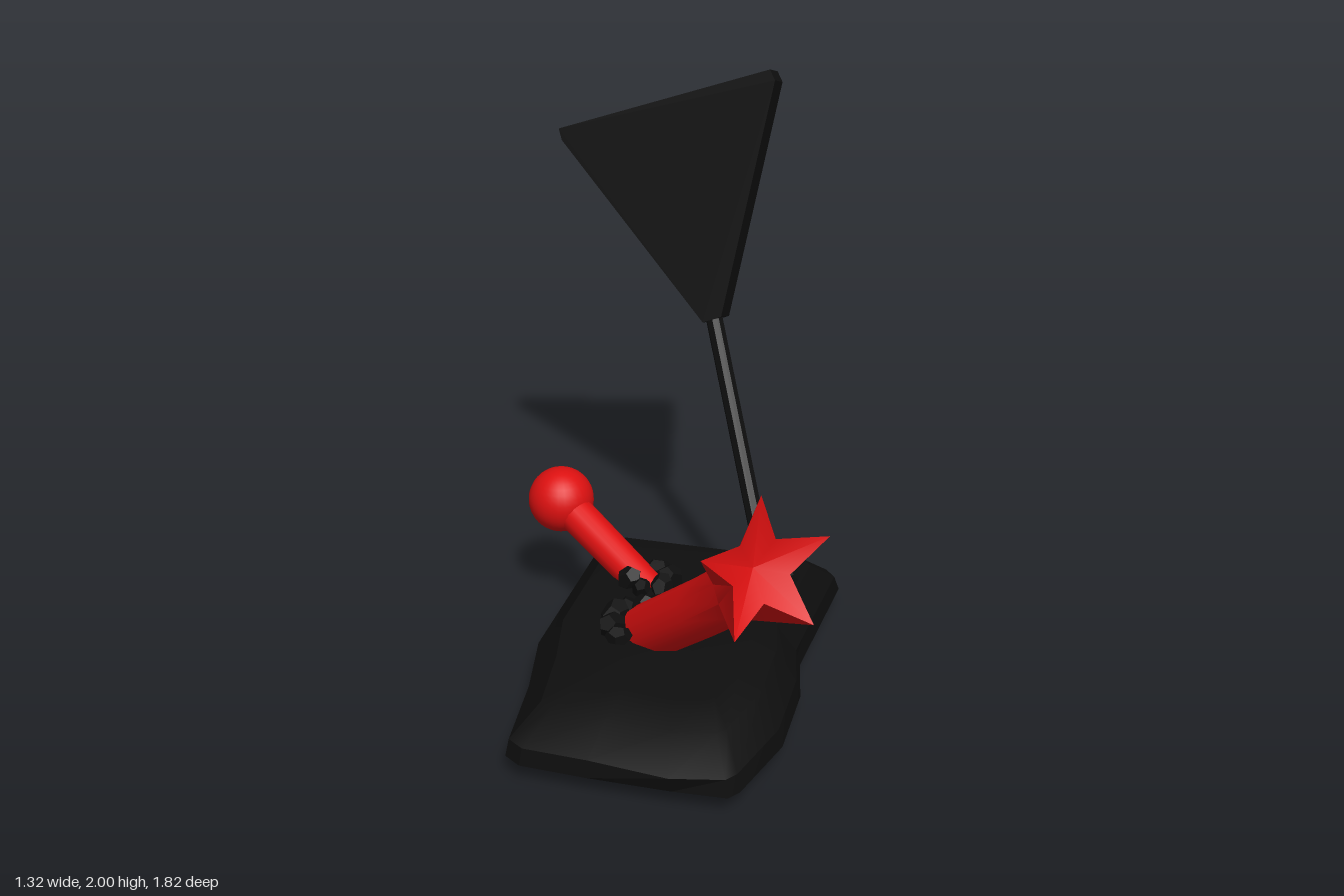
import * as THREE from 'three';
import { toCreasedNormals } from 'three/addons/utils/BufferGeometryUtils.js';

const V = (x, y, z) => new THREE.Vector3(x, y, z);
const dark = new THREE.MeshStandardMaterial({ color: 0x0e0e0e });
const red = new THREE.MeshStandardMaterial({ color: 0xdd1010 });

// Skin a list of equal-length rings and close both ends with fans
function loft(rings, startCentre, endCentre, crease) {
  const pos = [];
  const tri = (...pts) => pts.forEach((p) => pos.push(p.x, p.y, p.z));
  const n = rings[0].length;
  const last = rings[rings.length - 1];
  for (let i = 0; i < n; i++) {
    const j = (i + 1) % n;
    tri(startCentre, rings[0][j], rings[0][i]);
    for (let k = 0; k + 1 < rings.length; k++) {
      const a = rings[k], b = rings[k + 1];
      tri(a[i], a[j], b[j]);
      tri(a[i], b[j], b[i]);
    }
    tri(endCentre, last[i], last[j]);
  }
  const geo = new THREE.BufferGeometry();
  geo.setAttribute('position', new THREE.Float32BufferAttribute(pos, 3));
  return toCreasedNormals(geo, crease);
}

// Cylinder between two points
function rod(a, b, r0, r1, sides) {
  const dir = b.clone().sub(a);
  const geo = new THREE.CylinderGeometry(r1, r0, dir.length(), sides);
  geo.applyQuaternion(new THREE.Quaternion().setFromUnitVectors(V(0, 1, 0), dir.clone().normalize()));
  const mid = a.clone().add(b).multiplyScalar(0.5);
  return geo.translate(mid.x, mid.y, mid.z);
}

export function createModel() {
  const model = new THREE.Group();
  const add = (name, geo, mat, parent = model) => {
    const mesh = new THREE.Mesh(geo, mat);
    mesh.name = name;
    parent.add(mesh);
    return mesh;
  };

  // Ground slab: irregular outline, sloped sides, gently domed top
  const outline = [
    [-0.43, -0.54], [-0.38, -0.59], [0.49, -0.59], [0.53, -0.54], [0.49, 0.04],
    [0.53, 0.24], [0.53, 0.55], [0.45, 0.83], [0.42, 0.87], [0.24, 0.91],
    [-0.04, 0.88], [-0.27, 0.87], [-0.33, 0.83], [-0.37, 0.51], [-0.43, 0.23],
  ].reverse();
  const slabRing = (s, y, shift, drop) => outline.map(([x, z]) => {
    const pz = 0.18 + (z - 0.18) * s + shift;
    return V(0.08 + (x - 0.08) * s, y - drop * Math.max(0, pz - 0.2), pz);
  });
  const foot = outline.map(([x, z]) => V(x, 0.07, Math.min(z, 0.88)));
  add('groundSlab', loft(
    [foot, slabRing(0.97, 0.14, 0.015, 0.01), slabRing(0.8, 0.235, 0, 0.05), slabRing(0.6, 0.255, 0, 0.04)],
    V(0.08, 0.07, 0.18), V(0.08, 0.258, 0.18), 0.45), dark);

  // Bent post that flares into a hollow five-pointed star
  const starUp = V(-0.03, 0.226, -0.05);
  const starDir = V(0.63, 0.31, 0.7).normalize();
  const postDir = V(0.6, 0.62, 0.5).normalize();
  const starMid = V(0.506, 0.814, 0.737);
  const postRing = (c, dir, tip, inner, back) => {
    const u = starUp.clone().addScaledVector(dir, -starUp.dot(dir)).normalize();
    const v = dir.clone().cross(u);
    return Array.from({ length: 10 }, (_, i) => {
      const a = (i * Math.PI) / 5, r = i % 2 ? inner : tip;
      return c.clone().addScaledVector(u, r * Math.cos(a)).addScaledVector(v, r * Math.sin(a))
        .addScaledVector(dir, i % 2 ? -back : 0);
    });
  };
  const base = V(-0.18, 0.08, 0.1);
  const neckDir = postDir.clone().lerp(starDir, 0.4).normalize();
  add('starPost', loft([
    postRing(base, postDir, 0.1, 0.1, 0),
    postRing(V(0.225, 0.475, 0.42), postDir, 0.1, 0.1, 0),
    postRing(V(0.39, 0.65, 0.57), neckDir, 0.105, 0.1, 0),
    postRing(starMid, starDir, 0.235, 0.105, 0.05),
  ], base, starMid.clone().addScaledVector(starDir, -0.1), 0.7), red);

  // Lever with a ball knob
  const lever = new THREE.Group();
  lever.name = 'ballLever';
  model.add(lever);
  const knob = V(-0.5, 0.44, -0.3);
  add('leverRod', rod(V(-0.08, 0.23, -0.06), knob, 0.062, 0.07, 16), red, lever);
  add('leverBall', new THREE.SphereGeometry(0.123, 28, 18), red, lever).position.copy(knob);

  // Leaning signpost; the pole runs up behind the panel
  const sign = new THREE.Group();
  sign.name = 'signpost';
  model.add(sign);
  add('signPole', toCreasedNormals(rod(V(0.325, 0.23, -0.2), V(-0.08, 1.38, -0.715), 0.032, 0.032, 8), 0.5), dark, sign);

  // Triangular panel with clipped corners, leaned onto its plane
  const panel = new THREE.ExtrudeGeometry(new THREE.Shape([
    [-0.02, 1.1], [0.05, 1.13], [0.187, 1.965], [0.165, 2.0], [-0.655, 1.72], [-0.64, 1.68],
  ].map(([x, y]) => new THREE.Vector2(x, y))), { depth: 0.08, bevelEnabled: false });
  const p = panel.attributes.position;
  for (let i = 0; i < p.count; i++) {
    const x = p.getX(i), y = p.getY(i), t = 0.08 - p.getZ(i);
    p.setXYZ(i, x + 0.16 * t, y - 0.27 * t, -0.239 + 0.167 * x - 0.288 * y - 0.95 * t);
  }
  panel.computeVertexNormals();
  add('signPanel', panel, dark, sign);

  // Broken lumps around each hole in the slab
  const stone = new THREE.DodecahedronGeometry(1, 0);
  const rubble = (name, cx, cz, radius, count, size, from, sweep) => {
    const group = new THREE.Group();
    group.name = name;
    model.add(group);
    for (let i = 0; i < count; i++) {
      const a = from + (sweep * i) / count;
      const s = size * (0.85 + 0.3 * Math.abs(Math.sin(i * 2.3 + cx * 9)));
      const lump = add('stone', stone, dark, group);
      lump.position.set(cx + radius * Math.cos(a), 0.265 + s * 0.35, cz + radius * Math.sin(a));
      lump.rotation.set(i * 1.3, i * 2.1, i * 0.7);
      lump.scale.set(s * 1.2, s * 0.85, s);
    }
  };
  rubble('poleRubble', 0.325, -0.21, 0.06, 6, 0.05, 0, Math.PI * 2);
  rubble('postRubble', 0.0, 0.25, 0.13, 7, 0.048, 2.3, 3.4);
  rubble('leverRubble', -0.09, -0.07, 0.075, 6, 0.042, -1.4, Math.PI * 2);
  return model;
}
